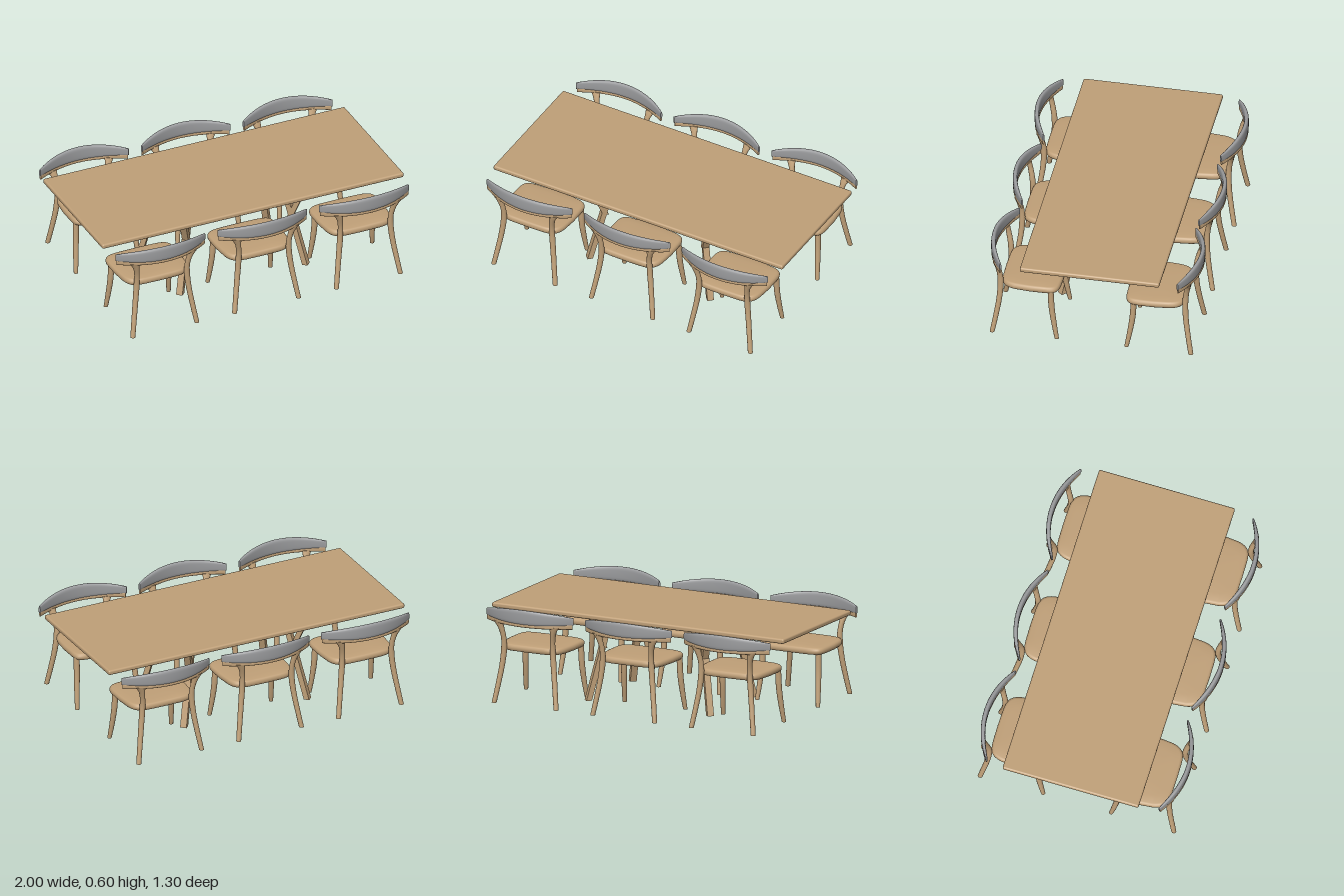
import * as THREE from 'three';
import { RoundedBoxGeometry } from 'three/addons/geometries/RoundedBoxGeometry.js';

const wood = new THREE.MeshStandardMaterial({ color: 0xc0a078 });
wood.name = 'oak wood';
const grey = new THREE.MeshStandardMaterial({ color: 0x9a9b9d });
grey.name = 'grey upholstery';

function add(parent, name, geometry, material) {
  const mesh = new THREE.Mesh(geometry, material);
  mesh.name = name;
  parent.add(mesh);
  return mesh;
}

// Closed, capped skin over a list of equal-length rings of [x, y, z]
function loft(rings) {
  const n = rings[0].length, last = rings.length - 1;
  const pos = rings.flat(2), idx = [];
  for (let i = 0; i < last; i++) {
    for (let j = 0; j < n; j++) {
      const k = (j + 1) % n;
      const a = i * n + j, b = i * n + k, c = a + n, d = b + n;
      idx.push(a, c, b, b, c, d);
    }
  }
  for (const [ring, flip] of [[rings[0], false], [rings[last], true]]) {
    const start = pos.length / 3;
    const mid = [0, 1, 2].map((k) => ring.reduce((s, p) => s + p[k], 0) / n);
    pos.push(...ring.flat(), ...mid);
    for (let j = 0; j < n; j++) {
      const a = start + j, b = start + (j + 1) % n;
      idx.push(start + n, flip ? b : a, flip ? a : b);
    }
  }
  const g = new THREE.BufferGeometry();
  g.setAttribute('position', new THREE.Float32BufferAttribute(pos, 3));
  g.setIndex(idx);
  g.computeVertexNormals();
  return g;
}

// n points of a superellipse, exponent p
function oval(n, p) {
  const f = (v) => Math.sign(v) * Math.pow(Math.abs(v), 2 / p);
  return Array.from({ length: n }, (_, j) => {
    const a = (j / n) * Math.PI * 2;
    return [f(Math.cos(a)), f(Math.sin(a))];
  });
}

// Curved leg through stations [x, y, z, radiusX, radiusZ]; side mirrors x
function curvedLeg(stations, side) {
  const path = new THREE.CatmullRomCurve3(stations.map((s) => new THREE.Vector3(s[0] * side, s[1], s[2])));
  const size = new THREE.CatmullRomCurve3(stations.map((s, i) => new THREE.Vector3(s[3], s[4], i)));
  const section = oval(14, 2), rings = [], steps = 18;
  for (let i = 0; i <= steps; i++) {
    const p = path.getPoint(i / steps), r = size.getPoint(i / steps);
    // keep the foot flat on the floor
    rings.push(section.map(([u, v]) => [p.x + u * r.x, Math.max(0, p.y), p.z + v * r.y]));
  }
  return loft(rings);
}

// Bowed rail along x; bottom and top heights depend on t in -1..1
function bowedRail(halfWidth, thick, bottom, top) {
  const section = oval(20, 3.2), rings = [], steps = 32;
  for (let i = 0; i <= steps; i++) {
    const t = (i / steps) * 2 - 1, x = t * halfWidth;
    const bow = (x / 0.295) ** 2;
    const z = 0.542 + 0.092 * (1 - bow);
    const h = thick * (1 - 0.6 * bow * bow);
    const lo = bottom(t * t), hi = top(t * t);
    // sections turn with the bow so that the ends stay slender
    const slope = -2 * 0.092 * x / 0.295 ** 2, len = Math.hypot(1, slope);
    rings.push(section.map(([u, v]) => [
      x - (u * h * slope) / len, (lo + hi) / 2 + (v * (hi - lo)) / 2, z + (u * h) / len,
    ]));
  }
  return loft(rings);
}

const backLegStations = [
  [0.212, 0, 0.609, 0.015, 0.015], [0.193, 0.12, 0.588, 0.016, 0.016],
  [0.177, 0.23, 0.572, 0.017, 0.017], [0.167, 0.33, 0.566, 0.018, 0.018],
  [0.167, 0.40, 0.571, 0.016, 0.017], [0.177, 0.46, 0.583, 0.019, 0.016],
  [0.190, 0.505, 0.595, 0.032, 0.012],
];
const frontLegStations = [
  [0.208, 0, 0.214, 0.013, 0.013], [0.200, 0.10, 0.232, 0.016, 0.016],
  [0.193, 0.21, 0.248, 0.018, 0.018], [0.190, 0.33, 0.255, 0.018, 0.018],
];

// Seat: tapered rounded outline, stacked into a softly crowned slab
function seatGeometry() {
  const layers = [
    [0.318, 0.92], [0.321, 0.965], [0.328, 0.992], [0.338, 1], [0.348, 0.992],
    [0.356, 0.965], [0.36, 0.92], [0.364, 0.7], [0.365, 0.3], [0.365, 0.03],
  ];
  const outline = oval(56, 7).map(([u, v]) => [
    0.222 * u * (1 - 0.13 * Math.max(0, v) ** 2), 0.183 * v * (1 - 0.03 * u * u),
  ]);
  return loft(layers.map(([y, s]) => outline.map(([x, z]) => [x * s - 0.008, y, 0.383 + z * s])));
}

const parts = {
  seat: seatGeometry(),
  woodRail: bowedRail(0.29, 0.012, () => 0.494, (q) => 0.515 + 0.012 * q),
  backrestPad: bowedRail(0.295, 0.014, (q) => 0.508 + 0.012 * q, (q) => 0.599 - 0.034 * q),
};

// Chair with its backrest towards +z
function chair() {
  const g = new THREE.Group();
  g.name = 'chair';
  add(g, 'seat', parts.seat, wood);
  add(g, 'backrestRail', parts.woodRail, wood);
  add(g, 'backrestPad', parts.backrestPad, grey);
  for (const side of [-1, 1]) {
    add(g, 'backLeg', curvedLeg(backLegStations, side), wood);
    add(g, 'frontLeg', curvedLeg(frontLegStations, side), wood);
  }
  return g;
}

// Diagonally set beam between two points, cut level at both ends
function beam(a, b) {
  const h = b[1] - a[1];
  const g = new THREE.BoxGeometry(0.034, h, 0.04);
  g.rotateY(-Math.PI / 4 * Math.sign(a[0] * a[2]));
  const p = g.attributes.position;
  for (let i = 0; i < p.count; i++) {
    const t = p.getY(i) / h + 0.5;
    p.setXYZ(i, p.getX(i) + a[0] + (b[0] - a[0]) * t, a[1] + h * t, p.getZ(i) + a[2] + (b[2] - a[2]) * t);
  }
  g.computeVertexNormals();
  return g;
}

function table() {
  const g = new THREE.Group();
  g.name = 'table';
  g.position.z = -0.008;
  add(g, 'tableTop', new RoundedBoxGeometry(2, 0.031, 0.855, 3, 0.011), wood).position.y = 0.555;
  // four forked legs leaning towards the middle
  for (const sx of [-1, 1]) {
    for (const sz of [-1, 1]) {
      const at = (x, y, z) => [x * sx, y, z * sz];
      add(g, 'tableLeg', beam(at(0.417, 0, 0.28), at(0.31, 0.545, 0.18)), wood);
      add(g, 'tableLegFork', beam(at(0.345, 0.32, 0.215), at(0.406, 0.545, 0.288)), wood);
    }
  }
  return g;
}

export function createModel() {
  const model = new THREE.Group();
  model.name = 'diningSet';
  model.add(table());
  for (const x of [-0.675, 0, 0.675]) {
    for (const turn of [0, Math.PI]) {
      const c = chair();
      c.position.x = x;
      c.rotation.y = turn;
      model.add(c);
    }
  }
  return model;
}
